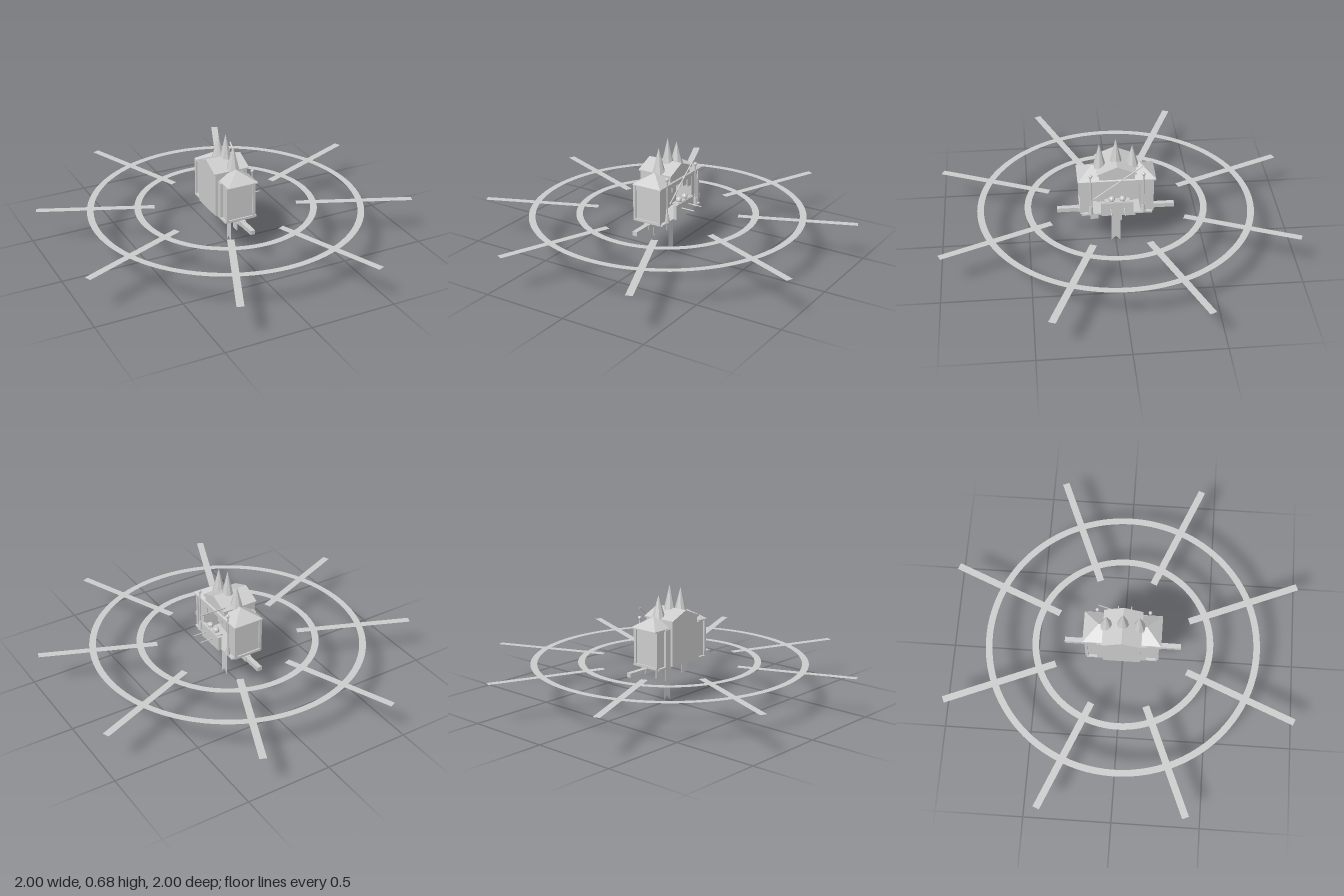
import * as THREE from 'three';
import { ConvexGeometry } from 'three/addons/geometries/ConvexGeometry.js';

export function createModel() {
  const model = new THREE.Group();
  const grey = new THREE.MeshStandardMaterial({ color: 0xcccccc, flatShading: true, side: THREE.DoubleSide });
  grey.name = 'pale grey';

  const add = (name, geometry, x = 0, y = 0, z = 0) => {
    const mesh = new THREE.Mesh(geometry, grey);
    mesh.name = name;
    mesh.position.set(x, y, z);
    model.add(mesh);
    return mesh;
  };
  // Box given by its limits on each axis
  const box = (name, x0, x1, y0, y1, z0, z1) =>
    add(name, new THREE.BoxGeometry(x1 - x0, y1 - y0, z1 - z0), (x0 + x1) / 2, (y0 + y1) / 2, (z0 + z1) / 2);
  const hull = (name, points) =>
    add(name, new ConvexGeometry(points.map((p) => new THREE.Vector3(...p))));
  // Thin round pole between two points
  const pole = (name, a, b, r) => {
    const from = new THREE.Vector3(...a), to = new THREE.Vector3(...b);
    const dir = to.clone().sub(from);
    const mesh = add(name, new THREE.CylinderGeometry(r, r, dir.length(), 6));
    mesh.position.copy(from).add(to).multiplyScalar(0.5);
    mesh.quaternion.setFromUnitVectors(new THREE.Vector3(0, 1, 0), dir.normalize());
  };

  // Flat rings and radial spokes
  const level = 0.24;
  for (const [inner, outer] of [[0.482, 0.52], [0.75, 0.788]]) {
    add('ring', new THREE.RingGeometry(inner, outer, 96).rotateX(-Math.PI / 2), 0, level, 0);
  }
  for (let i = 0; i < 8; i++) {
    const spoke = new THREE.PlaneGeometry(0.67, 0.04).rotateX(-Math.PI / 2).translate(0.739, 0, 0);
    add('spoke', spoke, 0, level + 0.001, 0).rotation.y = Math.PI / 8 + (i * Math.PI) / 4;
  }

  // Keel beam with slimmer ends, and the floor
  box('keelBeam', -0.018, 0.018, 0.21, 0.238, -0.22, 0.22);
  for (const s of [-1, 1]) {
    box('beamEnd', -0.014, 0.014, 0.212, 0.237, Math.min(s * 0.22, s * 0.335), Math.max(s * 0.22, s * 0.335));
  }
  box('floor', -0.1, 0.095, 0.237, 0.247, -0.2, 0.2);

  // Hanging banner with a notched end, and smaller pennants
  const banner = new THREE.Shape([[-0.026, 0.24], [-0.026, 0], [0, 0.028], [0.026, 0], [0.026, 0.24]]
    .map((p) => new THREE.Vector2(...p)));
  add('banner', new THREE.ShapeGeometry(banner).rotateY(Math.PI / 2), 0.021, 0, 0);
  for (const [z0, z1, y] of [[0.1, 0.145, 0.145], [-0.115, -0.065, 0.157], [-0.037, 0.01, 0.125]]) {
    box('pennant', -0.003, 0.003, y, 0.212, z0, z1);
  }

  // End pavilions with corner trim
  for (const s of [-1, 1]) {
    const zIn = s * 0.135, zOut = s * 0.2;
    box('pavilion', -0.085, 0.075, 0.245, 0.455, Math.min(zIn, zOut), Math.max(zIn, zOut));
    for (const x of [-0.087, 0.074]) {
      box('cornerPost', x - 0.008, x + 0.008, 0.245, 0.455, zOut - 0.008, zOut + 0.008);
    }
    box('endSill', -0.092, 0.08, 0.24, 0.254, s * 0.203 - 0.006, s * 0.203 + 0.006);
    // Porch posts with small pedestals and caps
    const z = s * 0.148;
    add('pedestal', new THREE.CylinderGeometry(0.009, 0.014, 0.05, 8), 0.092, 0.27, z);
    pole('porchPost', [0.092, 0.29, z], [0.092, 0.46, z], 0.005);
    add('postCap', new THREE.SphereGeometry(0.011, 8, 6), 0.092, 0.5, z);
    pole('capStem', [0.092, 0.45, z], [0.092, 0.5, z], 0.004);
  }

  // Rear hall and the recessed back wall of the porch
  box('rearHall', -0.115, -0.02, 0.245, 0.507, -0.105, 0.105);
  box('hallLink', -0.1, -0.03, 0.245, 0.458, -0.14, 0.14);
  box('doorPanel', -0.02, -0.014, 0.247, 0.4, -0.045, 0.045);
  box('lintel', 0.06, 0.09, 0.435, 0.458, -0.135, 0.135);
  for (const [z, h] of [[-0.1, 0.06], [-0.05, 0.04], [0.06, 0.04], [0.11, 0.075]]) {
    box('valance', 0.076, 0.082, 0.44 - h, 0.44, z - 0.02, z + 0.02);
  }

  // Long hipped roof with a thin eave, crossed by a gable
  box('eave', -0.092, 0.092, 0.452, 0.461, -0.217, 0.217);
  const hip = [[0, 0.52, -0.135], [0, 0.52, 0.135]];
  for (const x of [-0.092, 0.092]) for (const z of [-0.22, 0.22]) hip.push([x, 0.46, z]);
  hull('hippedRoof', hip);
  const gable = [];
  for (const x of [-0.122, 0.092]) {
    gable.push([x, 0.552, 0], [x, 0.506, -0.11], [x, 0.506, 0.11], [x, 0.498, -0.11], [x, 0.498, 0.11]);
  }
  hull('crossGable', gable);
  box('pediment', 0.06, 0.084, 0.458, 0.5, -0.1, 0.1);

  // Row of three spires
  for (const [z, base, tip] of [[-0.092, 0.505, 0.637], [0, 0.52, 0.683], [0.092, 0.505, 0.653]]) {
    add('spire', new THREE.ConeGeometry(0.038, tip - base, 8), 0, (base + tip) / 2, z);
  }

  // Porch counter, two lamps, rods and a slanting pole
  box('counter', 0.095, 0.117, 0.245, 0.33, -0.09, 0.09);
  box('counterTop', 0.075, 0.112, 0.325, 0.333, -0.07, 0.07);
  for (const z of [-0.038, 0.038]) {
    pole('rod', [0.09, 0.3, z], [0.2, 0.3, z], 0.003);
    add('lamp', new THREE.SphereGeometry(0.018, 8, 6), 0.094, 0.342, z * 0.8);
  }
  pole('slantingPole', [0.098, 0.35, 0.13], [0.098, 0.555, -0.14], 0.004);

  return model;
}
